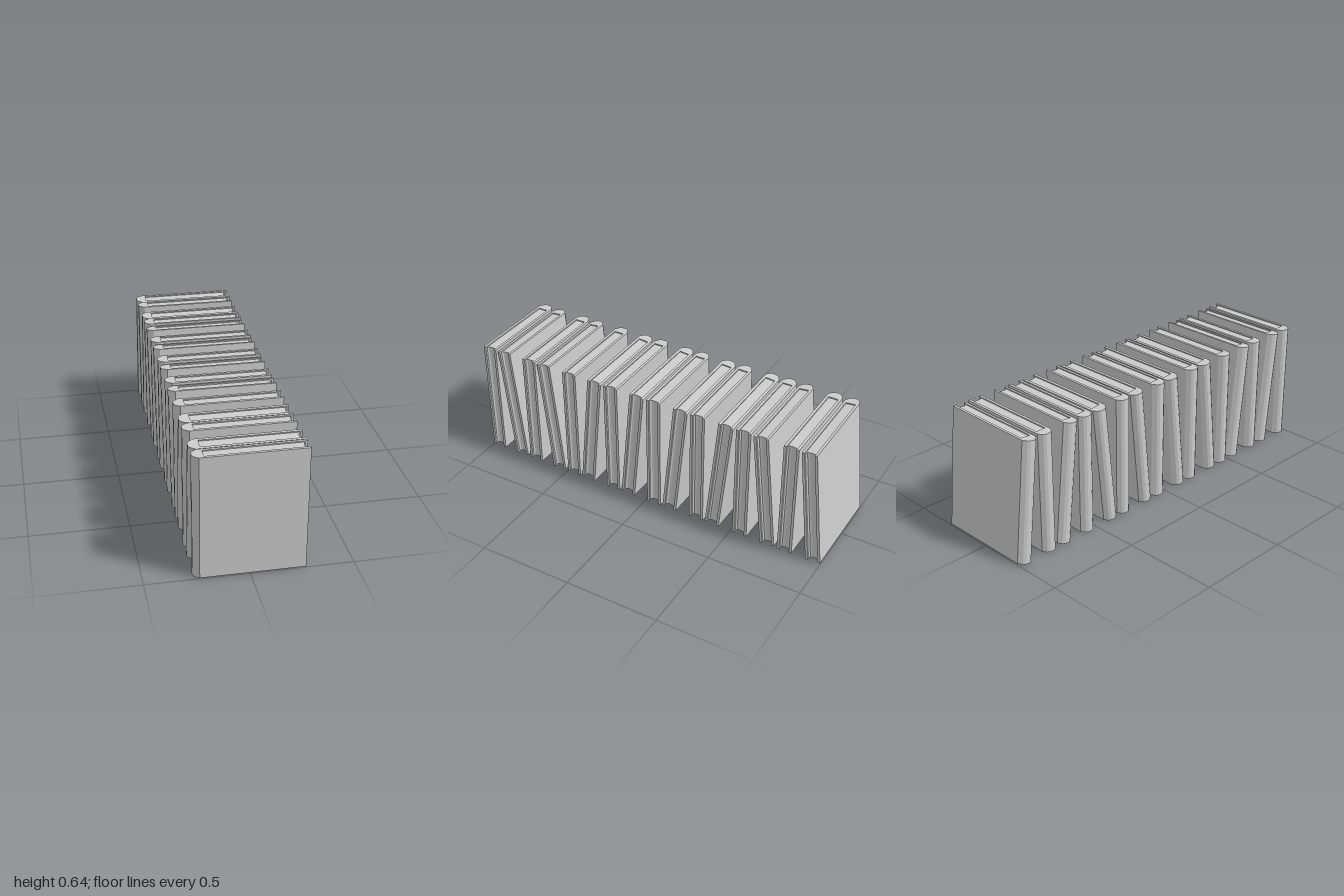
import * as THREE from 'three';

const HEIGHT = 0.636;   // cover height
const HALF = 0.04;      // half the thickness of a book
const BOARD = 0.014;    // cover board thickness
const INSET = 0.006;    // pages sit this far inside the cover at top and bottom
const STEP = 0.2517;    // distance between neighbouring upright books
const LEAN = 0.1;       // tilt of the leaning books, in radians

const material = new THREE.MeshStandardMaterial({ color: 0xcccccc, flatShading: true });

// Extrude a plan outline (x, z) upwards, centred on y = 0
function upright(points, height) {
  const shape = new THREE.Shape(points.map(([x, z]) => new THREE.Vector2(x, z)));
  const geometry = new THREE.ExtrudeGeometry(shape, { depth: height, bevelEnabled: false });
  geometry.translate(0, 0, -height / 2);
  geometry.rotateX(-Math.PI / 2);
  return geometry;
}

// Complete a half outline by mirroring it across the middle of the book
function mirrored(half) {
  return [...half, ...half.map(([x, z]) => [x, -z]).reverse()];
}

// Cover: two boards joined by a faceted, rounded spine
const inner = HALF - BOARD;
const coverGeometry = upright(mirrored([
  [-0.215, inner], [0.268, inner], [0.268, HALF],
  [-0.238, HALF], [-0.26, 0.025], [-0.268, 0.012],
]), HEIGHT);

// Page block with a hollow fore edge
const pagesGeometry = upright(mirrored([
  [-0.22, inner], [0.258, inner], [0.25, 0.019], [0.247, 0.008],
]), HEIGHT - 2 * INSET);

function createBook(name, z, tilt) {
  const book = new THREE.Group();
  book.name = name;
  const cover = new THREE.Mesh(coverGeometry, material);
  cover.name = 'cover';
  const pages = new THREE.Mesh(pagesGeometry, material);
  pages.name = 'pages';
  book.add(cover, pages);
  book.position.set(0, 0.321, z);
  book.rotation.x = tilt;
  return book;
}

export function createModel() {
  const row = new THREE.Group();
  row.name = 'bookRow';
  // Upright and leaning books alternate; the leaning direction varies
  const leans = [1, 1, -1, -1, -1, -1, 1, 1];
  leans.forEach((direction, i) => {
    row.add(createBook(`uprightBook${i + 1}`, 0.958 - i * STEP, 0));
    row.add(createBook(`leaningBook${i + 1}`, 0.834 - i * STEP, direction * LEAN));
  });
  return row;
}
